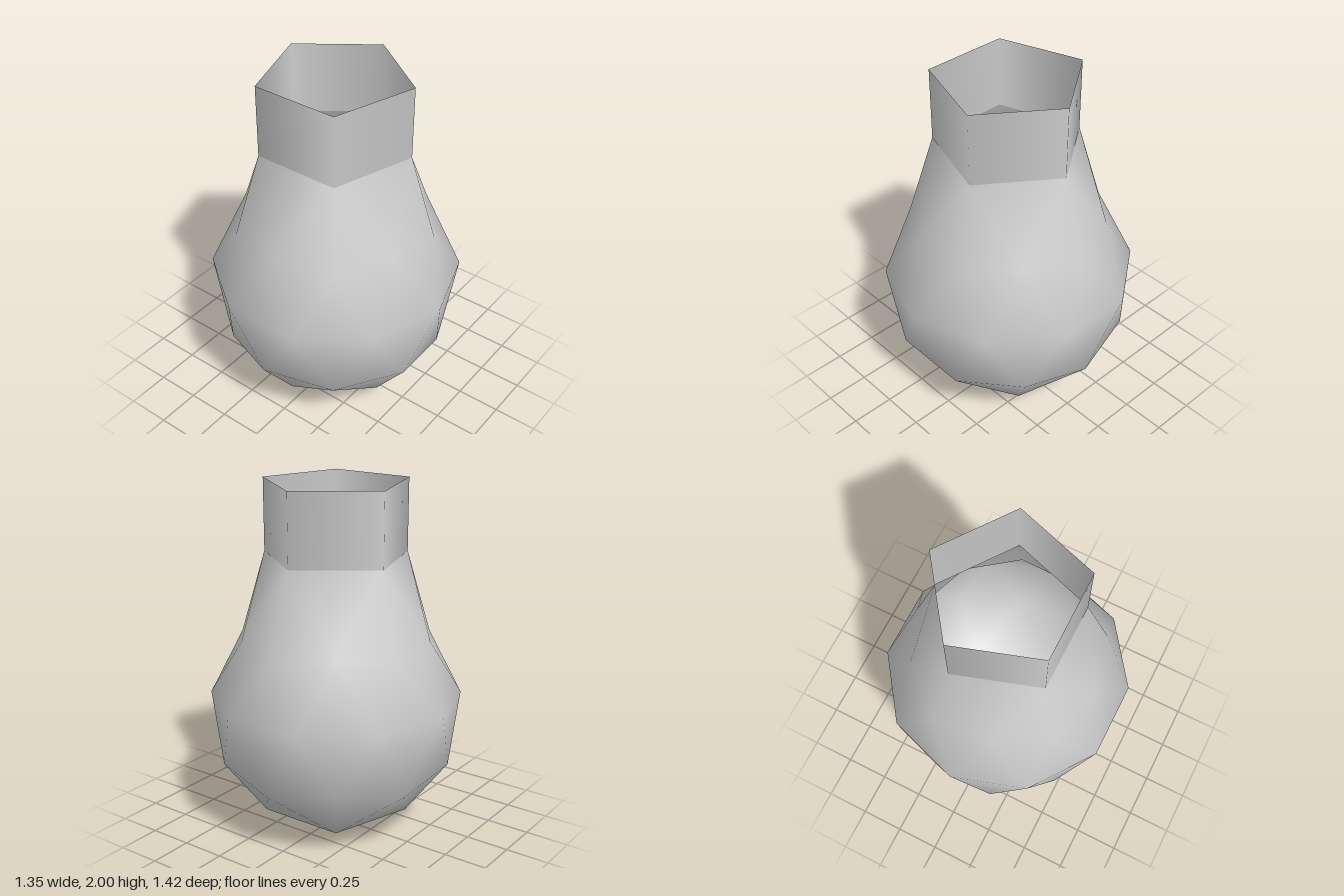
import * as THREE from 'three';

const material = new THREE.MeshStandardMaterial({ color: 0xcccccc, side: THREE.DoubleSide });

// Low-poly bulb: a subdivided icosahedron drawn out towards an open, five-sided top
function bulbGeometry() {
  const positions = [];
  const index = [];
  const STEP = Math.PI / 5;

  // Ring of points; profile [radius, y] alternates around the ring. Returns its index function.
  function ring(count, startStep, ...profile) {
    const first = positions.length / 3;
    for (let i = 0; i < count; i++) {
      const [r, y] = profile[i % profile.length];
      const a = (startStep + i * 10 / count) * STEP;
      positions.push(r * Math.cos(a), y, -r * Math.sin(a));
    }
    return (i) => first + (i + count) % count;
  }

  const pole = ring(1, 0, [0, 0]);
  const base = ring(5, 5, [0.42, 0.12]);
  const lower = ring(10, 5, [0.66, 0.44], [0.625, 0.38]);
  const equator = ring(10, 5.5, [0.71, 0.8]);
  const upper = ring(10, 5, [0.54, 1.15], [0.567, 1.11]);
  const rim = ring(5, 6, [0.42, 1.59]);

  for (let i = 0; i < 5; i++) {
    const j = 2 * i;
    // bottom point and the band above it
    index.push(pole(0), base(i + 1), base(i));
    index.push(base(i), lower(j + 1), lower(j));
    index.push(base(i), base(i + 1), lower(j + 1));
    index.push(base(i + 1), lower(j + 2), lower(j + 1));
    // shoulder up to the rim
    index.push(upper(j + 1), upper(j + 2), rim(i));
    index.push(upper(j + 2), rim(i + 1), rim(i));
    index.push(upper(j + 2), upper(j + 3), rim(i + 1));
  }
  // two bands of alternating triangles around the equator
  for (let j = 0; j < 10; j++) {
    index.push(lower(j), lower(j + 1), equator(j));
    index.push(lower(j + 1), equator(j + 1), equator(j));
    index.push(equator(j), equator(j + 1), upper(j + 1));
    index.push(equator(j), upper(j + 1), upper(j));
  }

  const geometry = new THREE.BufferGeometry();
  geometry.setAttribute('position', new THREE.Float32BufferAttribute(positions, 3));
  geometry.setIndex(index);
  geometry.computeVertexNormals();
  return geometry;
}

export function createModel() {
  const group = new THREE.Group();
  group.name = 'flask';

  const bulb = new THREE.Mesh(bulbGeometry(), material);
  bulb.name = 'bulb';

  // Open five-sided neck, one corner towards +x
  const neck = new THREE.Mesh(
    new THREE.CylinderGeometry(0.42, 0.42, 0.41, 5, 1, true, Math.PI / 2), material);
  neck.name = 'neck';
  neck.position.y = 1.795;

  group.add(bulb, neck);
  return group;
}
